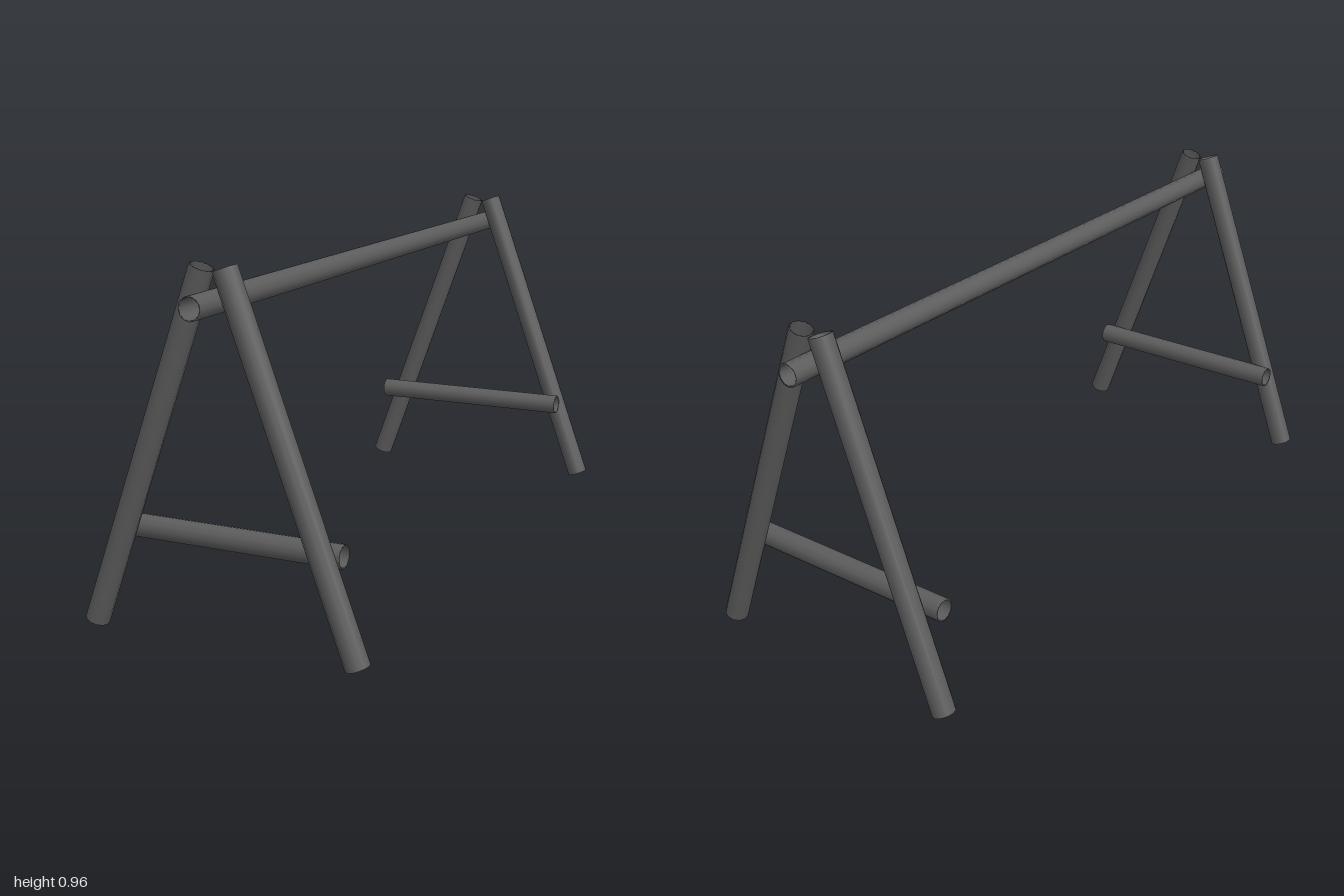
import * as THREE from 'three';

const material = new THREE.MeshStandardMaterial({ color: 0x5c5c5c, side: THREE.DoubleSide });

// Thin-walled round pipe between two points, open at both ends
function pipe(name, from, to, radius = 0.031) {
  const a = new THREE.Vector3(...from);
  const b = new THREE.Vector3(...to);
  const direction = b.clone().sub(a);
  const h = direction.length() / 2;
  const inner = radius - 0.004;
  const profile = [[inner, -h], [radius, -h], [radius, h], [inner, h], [inner, -h]];
  const geometry = new THREE.LatheGeometry(profile.map(([x, y]) => new THREE.Vector2(x, y)), 12);
  const mesh = new THREE.Mesh(geometry, material);
  mesh.name = name;
  mesh.position.copy(a).add(b).multiplyScalar(0.5);
  mesh.quaternion.setFromUnitVectors(new THREE.Vector3(0, 1, 0), direction.normalize());
  return mesh;
}

// A-shaped end frame: two leaning legs and a brace on the inner side
function endFrame(name, legZ, braceZ) {
  const frame = new THREE.Group();
  frame.name = name;
  for (const [side, s] of [['left', 1], ['right', -1]]) {
    frame.add(pipe(`${side}Leg`, [0.372 * s, 0.011, legZ], [0.031 * s, 0.951, legZ], 0.032));
  }
  frame.add(pipe('brace', [-0.328, 0.262, braceZ], [0.308, 0.262, braceZ]));
  return frame;
}

export function createModel() {
  const model = new THREE.Group();
  model.name = 'poleStand';
  model.add(endFrame('frontFrame', 0.89, 0.83));
  model.add(endFrame('backFrame', -0.915, -0.85));
  // Long bar resting in the crotch of both frames
  model.add(pipe('topBar', [0, 0.869, -1], [0, 0.869, 1]));
  return model;
}
